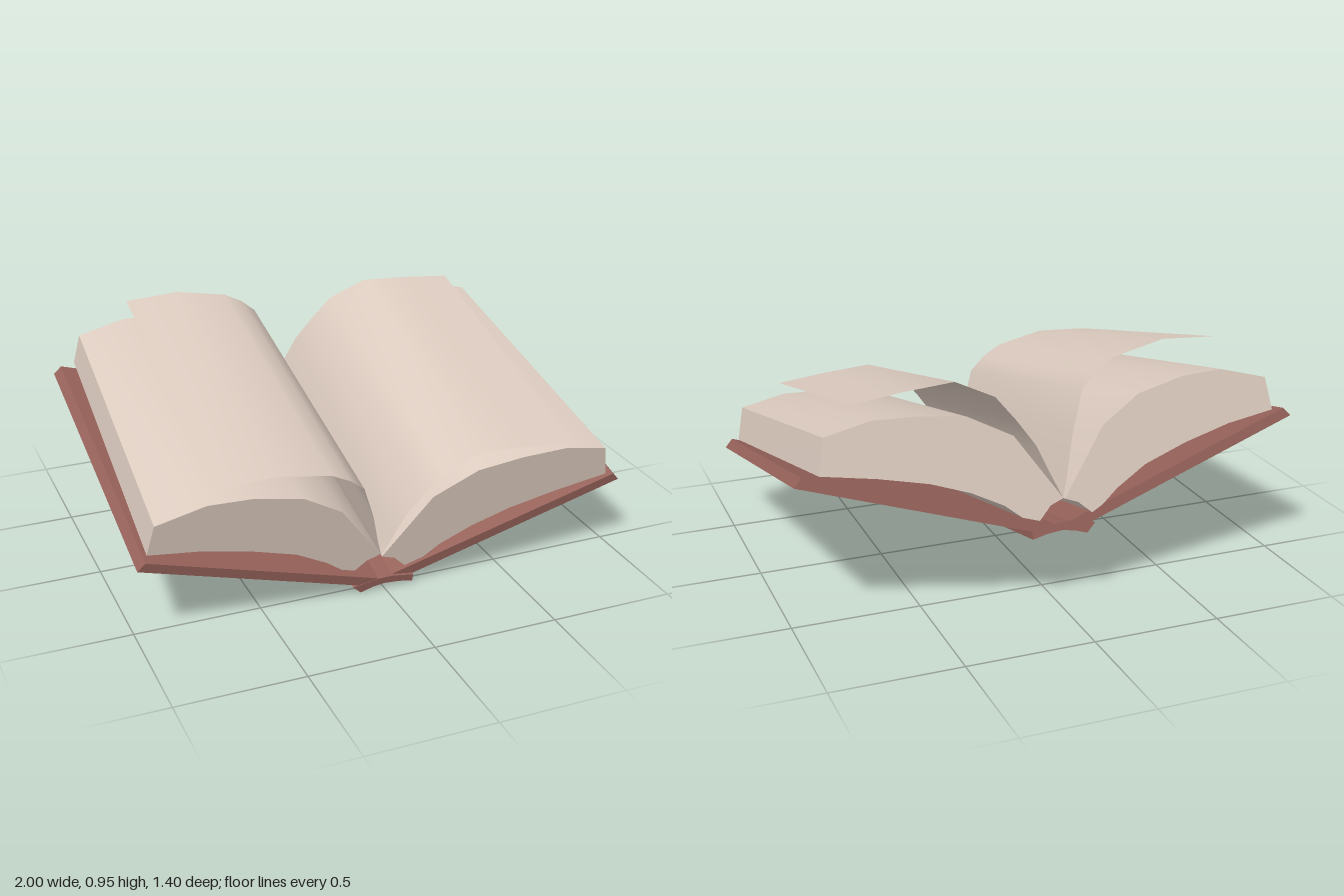
import * as THREE from 'three';
import { toCreasedNormals } from 'three/addons/utils/BufferGeometryUtils.js';

const paper = new THREE.MeshStandardMaterial({ color: 0xdccbbf, side: THREE.DoubleSide });
paper.name = 'paper';
const leather = new THREE.MeshStandardMaterial({ color: 0x96625a });
leather.name = 'leather';

// Cross-section (x, y) carried from a back z to a front z, narrowed at the back by taper
function prism(name, material, points, front, back, taper = 1) {
  const shape = new THREE.Shape(points.map(([x, y]) => new THREE.Vector2(x, y)));
  const geometry = new THREE.ExtrudeGeometry(shape, { depth: 1, bevelEnabled: false });
  const pos = geometry.attributes.position;
  for (let i = 0; i < pos.count; i++) {
    const t = pos.getZ(i);
    pos.setX(i, pos.getX(i) * THREE.MathUtils.lerp(taper, 1, t));
    pos.setZ(i, THREE.MathUtils.lerp(back, front, t));
  }
  const mesh = new THREE.Mesh(toCreasedNormals(geometry, 0.65), material);
  mesh.name = name;
  return mesh;
}

// Thin leaf following a profile, sliding forward a little as it rises from the gutter
function leaf(name, points, backLift, backShift) {
  const geometry = new THREE.PlaneGeometry(1, 1, points.length - 1, 1);
  const pos = geometry.attributes.position;
  for (let i = 0; i < pos.count; i++) {
    const [x, y] = points[i % points.length];
    const isBack = i < points.length;
    const rise = (y - 0.15) / 0.5;
    pos.setXYZ(i,
      x + (isBack ? backShift * rise : 0),
      y + (isBack ? backLift * rise : 0),
      (isBack ? -0.632 : 0.602) + 0.038 * rise);
  }
  geometry.computeVertexNormals();
  const mesh = new THREE.Mesh(geometry, paper);
  mesh.name = name;
  return mesh;
}

export function createModel() {
  const model = new THREE.Group();
  model.name = 'openBook';

  // Everything is built level, then tipped toward the reader
  const book = new THREE.Group();
  book.name = 'tiltedBook';
  book.rotation.x = 0.2295;
  book.position.set(0, 0.145, -0.08);
  model.add(book);

  // Hard covers
  book.add(prism('rightCover', leather,
    [[-1, 0.34], [-0.97, 0.373], [-0.03, 0.06], [-0.03, 0.03], [-0.12, 0.046]], 0.633, -0.637));
  book.add(prism('leftCover', leather,
    [[0.995, 0.33], [0.965, 0.363], [0.03, 0.06], [0.03, 0.03], [0.12, 0.043]], 0.625, -0.645));

  // Hollow-backed spine with a rib along each side
  book.add(prism('spine', leather,
    [[-0.135, 0.04], [-0.1, 0.005], [-0.05, 0.022], [0, 0.03], [0.06, 0.025], [0.12, 0.012],
      [0.12, 0.045], [0.03, 0.06], [-0.03, 0.06]], 0.635, -0.635));

  // Page blocks, arched clear of the covers
  book.add(prism('rightPageBlock', paper,
    [[-0.015, 0.15], [-0.2, 0.405], [-0.36, 0.505], [-0.56, 0.55], [-0.735, 0.557], [-0.93, 0.505],
      [-0.955, 0.375], [-0.75, 0.345], [-0.55, 0.295], [-0.37, 0.235], [-0.24, 0.16],
      [-0.17, 0.105], [-0.125, 0.083], [-0.07, 0.13]], 0.595, -0.65, 0.955));
  book.add(prism('leftPageBlock', paper,
    [[-0.015, 0.15], [0.17, 0.408], [0.35, 0.5], [0.54, 0.524], [0.725, 0.53], [0.91, 0.492],
      [0.94, 0.358], [0.72, 0.32], [0.52, 0.275], [0.36, 0.22], [0.23, 0.155],
      [0.15, 0.092], [0.09, 0.078], [0.04, 0.13]], 0.61, -0.635, 0.958));

  // Lifted leaves fanning out of the gutter
  book.add(leaf('rightLeaf',
    [[-0.705, 0.662], [-0.49, 0.674], [-0.28, 0.63], [-0.2, 0.585], [-0.138, 0.53],
      [-0.08, 0.375], [-0.04, 0.23], [-0.015, 0.15]], 0.018, 0));
  book.add(leaf('leftLeaf',
    [[-0.015, 0.15], [0.02, 0.24], [0.06, 0.35], [0.12, 0.445], [0.19, 0.54],
      [0.335, 0.61], [0.53, 0.597], [0.735, 0.575]], 0.018, 0.025));

  return model;
}
